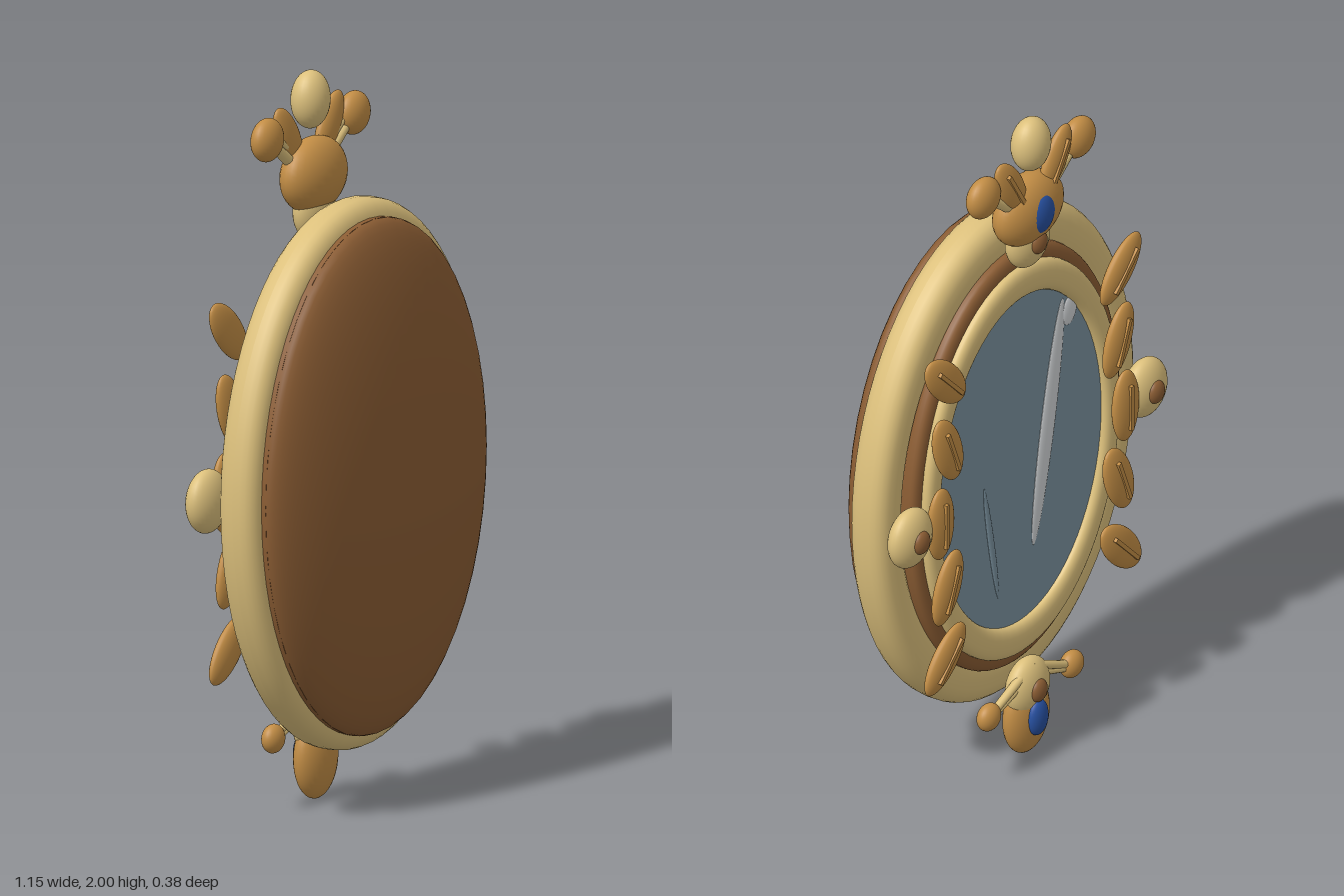
import * as THREE from 'three';

const mat = (name, color) => {
  const m = new THREE.MeshStandardMaterial({ color });
  m.name = name;
  return m;
};

export function createModel() {
  const cream = mat('pale gold', 0xdcc07c);
  const gold = mat('gold', 0xc28d45);
  const brown = mat('brown', 0x8a5c33);
  const blue = mat('blue gem', 0x2750a0);
  const glass = mat('mirror glass', 0x7b929f);
  const white = mat('highlight', 0xd2d5d7);

  const root = new THREE.Group();
  root.name = 'handMirror';
  const CY = 0.91;

  const add = (name, geo, material, x = 0, y = 0, z = 0, tilt = 0, parent = root) => {
    const m = new THREE.Mesh(geo, material);
    m.name = name;
    m.position.set(x, y, z);
    m.rotation.z = tilt;
    parent.add(m);
    return m;
  };
  const ball = (rx, ry, rz) => new THREE.SphereGeometry(1, 28, 20).scale(rx, ry, rz);

  // Oval ring with a rounded cross-section
  const ring = (inner, outer, halfDepth, stretch, power) => {
    const pts = [], mid = (inner + outer) / 2, half = (outer - inner) / 2;
    const bend = v => Math.sign(v) * Math.pow(Math.abs(v), 2 / power);
    for (let i = 0; i <= 24; i++) {
      const a = (i / 24) * Math.PI * 2;
      pts.push(new THREE.Vector2(mid + half * bend(Math.cos(a)), halfDepth * bend(Math.sin(a))));
    }
    return new THREE.LatheGeometry(pts, 72).rotateX(Math.PI / 2).scale(1, stretch, 1);
  };

  // Body: domed shell, frame and stepped rings around the glass
  const dome = new THREE.SphereGeometry(1, 48, 16, 0, Math.PI * 2, 0, Math.PI / 2)
    .rotateX(Math.PI / 2).scale(0.5, 0.708, 0.11);
  add('domedShell', dome, brown, 0, CY, 0.077);
  add('shellRim', new THREE.CylinderGeometry(1, 1, 0.06, 64).rotateX(Math.PI / 2).scale(0.5, 0.708, 1),
    brown, 0, CY, 0.048);
  add('outerFrame', ring(0.43, 0.55, 0.062, 1.373, 2.6), cream, 0, CY, 0.003);
  add('brownRing', ring(0.36, 0.442, 0.03, 1.462, 3), brown, 0, CY, -0.057);
  add('innerRing', ring(0.345, 0.41, 0.025, 1.476, 2.6), cream, 0, CY, -0.087);
  add('mirrorGlass', new THREE.CylinderGeometry(1, 1, 0.04, 64).rotateX(Math.PI / 2).scale(0.37, 0.56, 1),
    glass, 0, CY, -0.07);

  // Glints on the glass
  add('longGlint', ball(0.03, 0.365, 0.006), white, -0.12, 0.97, -0.091, 0.17);
  add('smallGlint', ball(0.03, 0.045, 0.006), white, -0.21, 1.28, -0.091, 0.17);
  add('thinGlint', ball(0.012, 0.19, 0.005), glass, 0.12, 0.7, -0.091, -0.16);

  // Leaf with a raised vein on its back face
  const leaf = (name, x, y, tilt, len = 0.11, wide = 0.052) => {
    const g = new THREE.Group();
    g.name = name;
    g.position.set(x, y, -0.137);
    g.rotation.z = tilt;
    add('leafBlade', ball(wide, len, 0.022), gold, 0, 0, 0, 0, g);
    add('leafVein', new THREE.BoxGeometry(0.012, len * 1.25, 0.016), gold, 0, 0, -0.019, 0, g);
    root.add(g);
  };

  // Small knob with a bead set in the back
  const knob = (name, x, y) => {
    add(name, ball(0.08, 0.088, 0.044), cream, x, y, -0.118);
    add(name + 'Bead', ball(0.03, 0.034, 0.018), brown, x, y, -0.158);
  };

  // Rod between two points
  const rod = (name, x1, y1, x2, y2, r) => {
    const dx = x2 - x1, dy = y2 - y1;
    add(name, new THREE.CylinderGeometry(r * 0.8, r, Math.hypot(dx, dy), 10), cream,
      (x1 + x2) / 2, (y1 + y2) / 2, -0.13, Math.atan2(-dx, dy));
  };

  knob('topKnob', 0, 1.62);
  knob('bottomKnob', 0, 0.207);

  const leaves = [[0.37, 1.35, 0.75], [0.36, 1.13, 0.35], [0.39, 0.91, 0], [0.36, 0.695, -0.35], [0.37, 0.475, -0.75]];
  for (const s of [1, -1]) {
    const side = s > 0 ? 'left' : 'right';
    knob(side + 'Knob', s * 0.495, CY);
    leaves.forEach(([x, y, t]) => leaf(side + 'Leaf', s * x, y, -s * t));
    // Crown spray
    leaf(side + 'CrownLeaf', s * 0.095, 1.83, -s * 0.52, 0.1, 0.045);
    rod(side + 'CrownStem', s * 0.05, 1.73, s * 0.19, 1.84, 0.018);
    rod(side + 'CrownStemUpper', s * 0.04, 1.755, s * 0.18, 1.86, 0.012);
    add(side + 'CrownBall', ball(0.06, 0.06, 0.036), gold, s * 0.2, 1.845, -0.13);
    // Bottom spray
    rod(side + 'BottomStem', 0, 0.275, s * 0.175, 0.195, 0.014);
    rod(side + 'BottomStemLower', 0, 0.25, s * 0.17, 0.185, 0.011);
    add(side + 'BottomBall', ball(0.04, 0.04, 0.028), gold, s * 0.175, 0.195, -0.128);
  }

  // Crown and bottom drop with blue gems
  add('crownBody', ball(0.13, 0.105, 0.065), gold, 0, 1.715, -0.12);
  add('crownGem', ball(0.05, 0.06, 0.026), blue, 0, 1.715, -0.165);
  add('crownFinial', ball(0.062, 0.08, 0.05), cream, 0, 1.92, -0.13);
  add('bottomDrop', ball(0.085, 0.117, 0.044), gold, 0, 0.117, -0.113);
  add('bottomGem', ball(0.037, 0.055, 0.022), blue, 0, 0.122, -0.154);

  return root;
}
